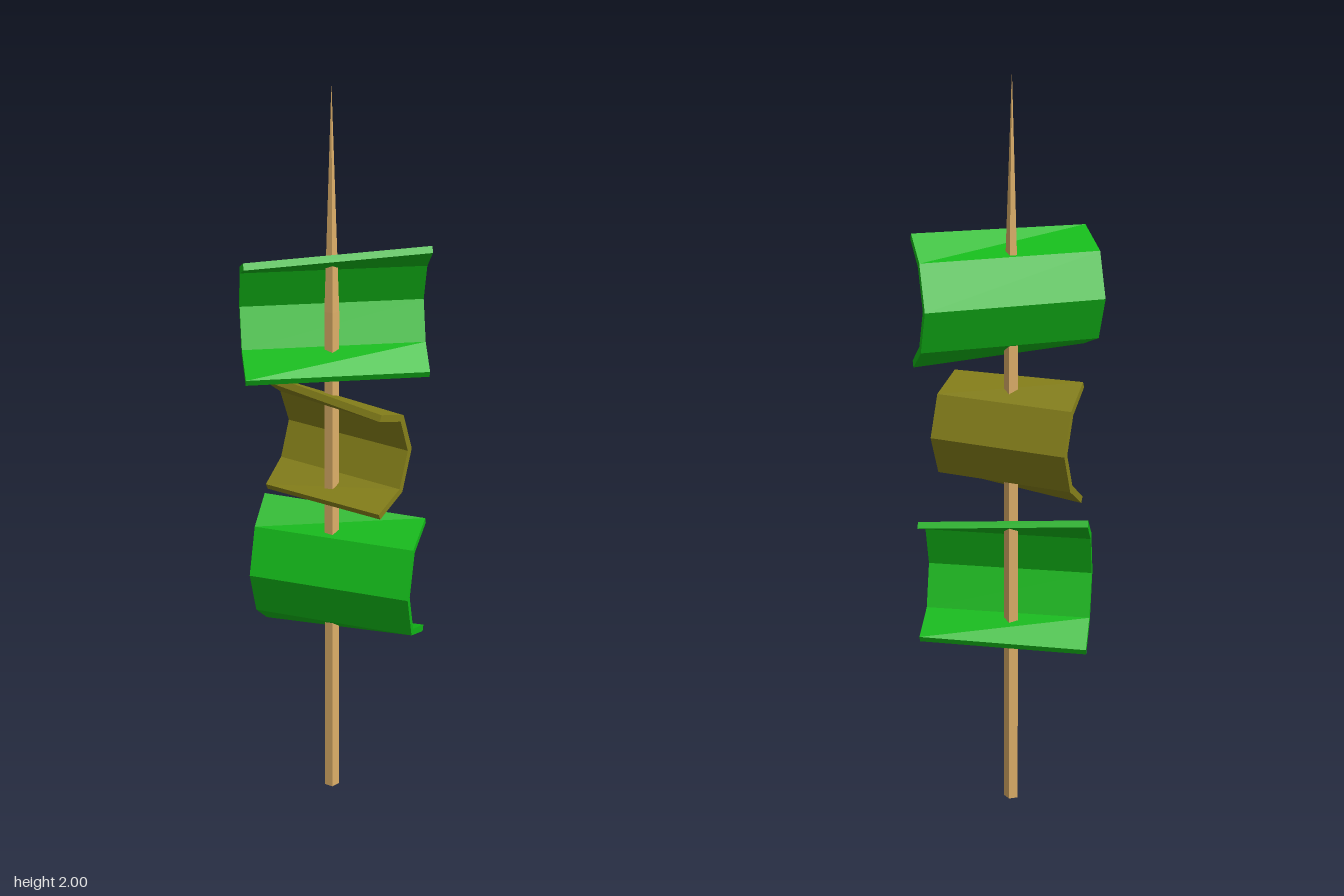
import * as THREE from 'three';

const material = (color) => new THREE.MeshStandardMaterial({ color, flatShading: true });

// A folded slice: a box with four strips, bent around the skewer.
// start and end are the [x, z] ends of the spine; lips are [depth, half height] at each end.
function foldedSlice(name, mat, { start, end, y, corner, startLip, endLip, thickness = 0.018 }) {
  const dx = end[0] - start[0], dz = end[1] - start[1];
  const length = Math.hypot(dx, dz);
  const geometry = new THREE.BoxGeometry(length, 4, 1, 1, 4, 1);
  const pos = geometry.attributes.position;
  // inward direction of the wall at spine, corner and lip
  const inward = [[1.08, 0], [0.8, -0.72], [0.42, -0.9]];
  for (let i = 0; i < pos.count; i++) {
    const row = Math.round(pos.getY(i));
    const k = Math.abs(row);
    const lip = pos.getX(i) < 0 ? startLip : endLip;
    const [depth, height] = [[0, 0], corner, lip][k];
    const t = pos.getZ(i) > 0 ? thickness : 0;
    pos.setY(i, Math.sign(row) * (height + t * inward[k][1]));
    pos.setZ(i, depth + t * inward[k][0]);
  }
  geometry.computeVertexNormals();
  const mesh = new THREE.Mesh(geometry, mat);
  mesh.name = name;
  mesh.position.set((start[0] + end[0]) / 2, y, (start[1] + end[1]) / 2);
  mesh.rotation.y = Math.atan2(-dz, dx);
  return mesh;
}

export function createModel() {
  const model = new THREE.Group();
  model.name = 'skewer';
  const wood = material(0xdcae68);
  const green = material(0x12b818);
  const olive = material(0x86801a);

  // Five-sided stick with a long sharpened tip
  const stick = new THREE.Group();
  stick.name = 'stick';
  const shaftHeight = 1.42;
  const shaft = new THREE.Mesh(new THREE.CylinderGeometry(0.02, 0.021, shaftHeight, 5), wood);
  shaft.name = 'shaft';
  shaft.position.y = shaftHeight / 2;
  const tip = new THREE.Mesh(new THREE.ConeGeometry(0.02, 2 - shaftHeight, 5), wood);
  tip.name = 'tip';
  tip.position.y = (2 + shaftHeight) / 2;
  stick.add(shaft, tip);
  stick.rotation.y = Math.PI;
  stick.position.set(-0.012, 0, -0.013);
  model.add(stick);

  // Three folded slices, from the top down; the lowest one opens to the back
  model.add(
    foldedSlice('upperSlice', green, {
      start: [-0.235, 0.07], end: [0.147, -0.21], y: 1.425,
      corner: [0.046, 0.115], startLip: [0.16, 0.16], endLip: [0.124, 0.174],
    }),
    foldedSlice('middleSlice', olive, {
      start: [-0.187, -0.115], end: [0.187, -0.083], y: 1.055,
      corner: [0.043, 0.108], startLip: [0.122, 0.165], endLip: [0.15, 0.145],
    }),
    foldedSlice('lowerSlice', green, {
      start: [0.233, 0.018], end: [-0.205, 0.095], y: 0.665,
      corner: [0.044, 0.127], startLip: [0.153, 0.172], endLip: [0.123, 0.192],
    }),
  );
  return model;
}
